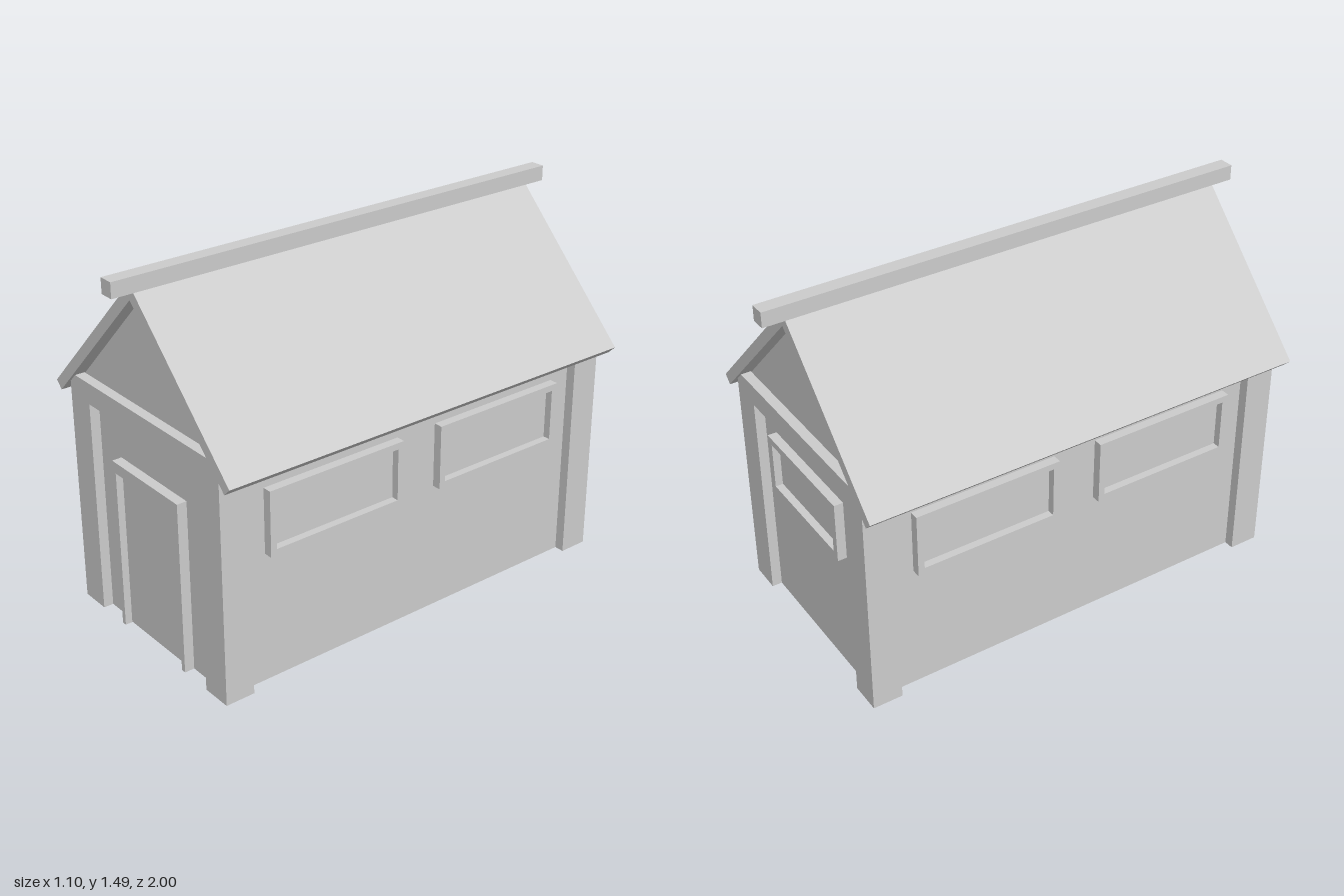
import * as THREE from 'three';

const W = 0.47, D = 0.9, RECESS = 0.04; // half width, half depth, panel recess
const WALL_X = W - RECESS, WALL_Z = D - RECESS;

const polygon = (pts) => new THREE.Shape(pts.map(([x, y]) => new THREE.Vector2(x, y)));
const rect = (x0, y0, x1, y1) => [[x0, y0], [x1, y0], [x1, y1], [x0, y1]];
const extrude = (shape, depth) => new THREE.ExtrudeGeometry(shape, { depth, bevelEnabled: false });

export function createModel() {
  const model = new THREE.Group();
  const grey = new THREE.MeshStandardMaterial({ color: 0xcccccc });
  grey.name = 'plain grey';

  function add(parent, name, geometry, z = 0) {
    const mesh = new THREE.Mesh(geometry, grey);
    mesh.name = name;
    mesh.position.z = z;
    parent.add(mesh);
    return mesh;
  }

  // A wall side: its local z = 0 is the recessed panel, facing outwards
  function side(name, x, z, angle) {
    const group = new THREE.Group();
    group.name = name;
    group.position.set(x, 0, z);
    group.rotation.y = angle;
    model.add(group);
    return group;
  }

  // Window with a raised rectangular frame
  function addWindow(parent, x0, y0, x1, y1, border) {
    const inner = rect(x0 + border, y0 + border, x1 - border, y1 - border);
    const shape = polygon(rect(x0, y0, x1, y1));
    shape.holes.push(polygon(inner));
    add(parent, 'windowFrame', extrude(shape, 0.036));
    add(parent, 'windowPane', extrude(polygon(inner), 0.006));
  }

  // Main body with gables
  add(model, 'body', extrude(polygon([
    [-WALL_X, 0], [WALL_X, 0], [WALL_X, 0.955], [0, 1.39], [-WALL_X, 0.955],
  ]), WALL_Z * 2), -WALL_Z);

  // Corner posts and headers, front and back
  const front = side('front', 0, WALL_Z, 0);
  const back = side('back', 0, -WALL_Z, Math.PI);
  for (const end of [front, back]) {
    add(end, 'postsAndHeader', extrude(polygon([
      [0.345, 0], [W, 0], [W, 0.92], [0.435, 0.955], [-0.435, 0.955],
      [-W, 0.92], [-W, 0], [-0.345, 0], [-0.345, 0.87], [0.345, 0.87],
    ]), RECESS));
  }

  // Long sides with posts, header and two windows each
  for (const s of [-1, 1]) {
    const long = side(s > 0 ? 'leftSide' : 'rightSide', s * WALL_X, 0, s * Math.PI / 2);
    add(long, 'postsAndHeader', extrude(polygon([
      [0.78, 0], [WALL_Z, 0], [WALL_Z, 0.92], [-WALL_Z, 0.92],
      [-WALL_Z, 0], [-0.78, 0], [-0.78, 0.87], [0.78, 0.87],
    ]), RECESS));
    addWindow(long, -0.69, 0.523, -0.09, 0.783, 0.026);
    addWindow(long, 0.09, 0.523, 0.69, 0.783, 0.026);
  }
  addWindow(back, -0.255, 0.54, 0.255, 0.785, 0.028);

  // Door frame and door with chamfered edges
  add(front, 'doorFrame', extrude(polygon([
    [0.19, 0], [0.21, 0], [0.21, 0.695], [-0.21, 0.695],
    [-0.21, 0], [-0.19, 0], [-0.19, 0.65], [0.19, 0.65],
  ]), RECESS));
  add(front, 'door', new THREE.ExtrudeGeometry(polygon(rect(-0.18, 0.01, 0.18, 0.64)), {
    depth: 0.002, bevelThickness: 0.015, bevelSize: 0.01, bevelSegments: 1,
  }));

  // Pitched roof and ridge beam
  add(model, 'roof', extrude(polygon([
    [0, 1.39], [0.52, 0.87], [0.55, 0.9], [0, 1.45], [-0.55, 0.9], [-0.52, 0.87],
  ]), 1.826), -0.913);
  const ridge = add(model, 'ridgeBeam', new THREE.BoxGeometry(0.06, 0.06, 2));
  ridge.position.y = 1.455;

  return model;
}
